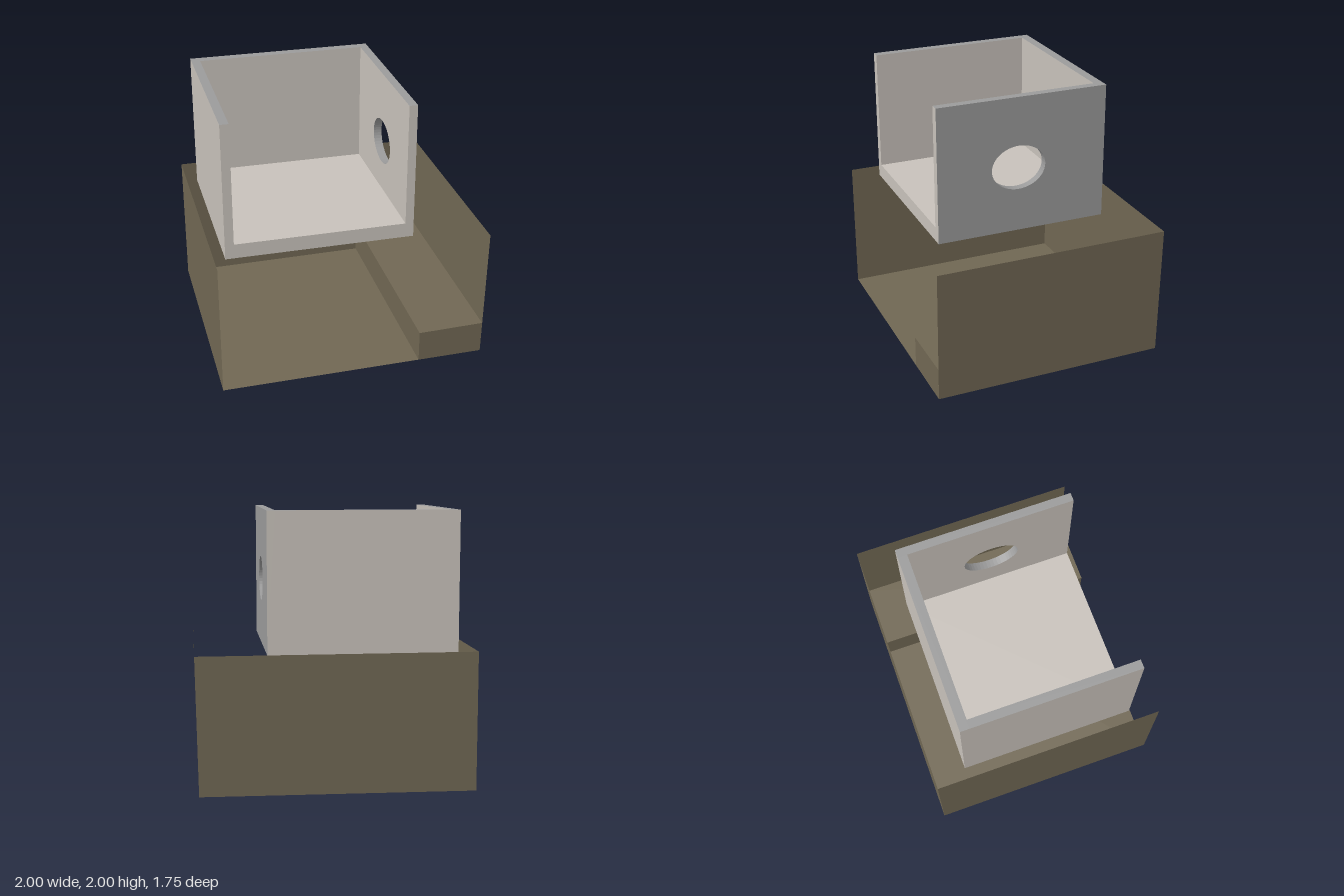
import * as THREE from 'three';

const stone = new THREE.MeshStandardMaterial({ color: 0xc8c2bb });
stone.name = 'warmStone';
const grey = new THREE.MeshStandardMaterial({ color: 0x9b9b9b });
grey.name = 'grey';
const brown = new THREE.MeshStandardMaterial({ color: 0x706753, side: THREE.DoubleSide });
brown.name = 'brown';

function add(group, name, geometry, material) {
  const mesh = new THREE.Mesh(geometry, material);
  mesh.name = name;
  group.add(mesh);
}

// Flat four-cornered sheet
function sheet(a, b, c, d) {
  const g = new THREE.BufferGeometry();
  const points = [a, b, c, a, c, d].flat();
  g.setAttribute('position', new THREE.Float32BufferAttribute(points, 3));
  g.computeVertexNormals();
  return g;
}

// Box given by its limits
function block(x0, x1, y0, y1, z0, z1) {
  const g = new THREE.BoxGeometry(x1 - x0, y1 - y0, z1 - z0);
  return g.translate((x0 + x1) / 2, (y0 + y1) / 2, (z0 + z1) / 2);
}

// Material groups per triangle: grey (1) where the rule holds, stone (0) elsewhere
function paint(geometry, isGrey) {
  const g = geometry.index ? geometry.toNonIndexed() : geometry;
  g.clearGroups();
  const p = g.attributes.position, n = g.attributes.normal;
  const centre = new THREE.Vector3(), normal = new THREE.Vector3(), v = new THREE.Vector3();
  for (let i = 0; i < p.count; i += 3) {
    centre.set(0, 0, 0);
    for (let k = 0; k < 3; k++) centre.add(v.fromBufferAttribute(p, i + k));
    centre.divideScalar(3);
    normal.fromBufferAttribute(n, i);
    g.addGroup(i, 3, isGrey(centre, normal) ? 1 : 0);
  }
  return g;
}

// Sheet running the full depth between two points of the front outline
function strip([xa, ya], [xb, yb], z0, z1) {
  return sheet([xa, ya, z1], [xb, yb, z1], [xb, yb, z0], [xa, ya, z0]);
}

function createTray() {
  const tray = new THREE.Group();
  tray.name = 'lowerTray';
  const z0 = -0.88, z1 = 0.875;
  const bottomLeft = [-1, 0], bottomRight = [0.98, 0.015];
  const topLeft = [-1, 1.01], topRight = [1, 1.01];
  const stepFoot = [0.49, 0.011], stepEdge = [0.49, 0.25], stepEnd = [0.984, 0.26];

  // Thin floor and walls, open at the front and top
  add(tray, 'trayFloor', strip(bottomLeft, bottomRight, z0, z1), brown);
  add(tray, 'trayLowXWall', strip(topLeft, bottomLeft, z0, z1), brown);
  add(tray, 'trayHighXWall', strip(bottomRight, topRight, z0, z1), brown);
  add(tray, 'trayBackWall', sheet([...bottomRight, z0], [...bottomLeft, z0], [...topLeft, z0], [...topRight, z0]), brown);

  // Low step along one side
  add(tray, 'stepTop', strip(stepEdge, stepEnd, z0, z1), brown);
  add(tray, 'stepSide', strip(stepEdge, stepFoot, z0, z1), brown);
  add(tray, 'stepFront', sheet([...stepFoot, z1], [...bottomRight, z1], [...stepEnd, z1], [...stepEdge, z1]), brown);
  return tray;
}

function createHousing() {
  const housing = new THREE.Group();
  housing.name = 'upperHousing';
  const x0 = -0.91, x1 = 0.48, y0 = 0.97, y1 = 2, z0 = -0.64, z1 = 0.67;
  const innerX0 = -0.845, innerX1 = 0.418, innerY = 1.08, innerZ = -0.57;
  const colours = [stone, grey];
  const onRim = (c, n) => n.y > 0.9 && c.y > y1 - 0.01;

  add(housing, 'housingFloor', block(x0, innerX1, y0, innerY, z0, z1), stone);
  add(housing, 'housingBackWall', paint(block(x0, innerX1, innerY, y1, z0, innerZ), onRim), colours);
  add(housing, 'housingSolidWall', paint(block(x0, innerX0, innerY, y1, innerZ, z1), onRim), colours);

  // Side wall with an oval opening, drawn with -z across and y up
  const outline = new THREE.Shape();
  outline.moveTo(-z1, y0).lineTo(-z0, y0).lineTo(-z0, y1).lineTo(-z1, y1).closePath();
  const hole = new THREE.Path();
  hole.absellipse(-0.045, 1.465, 0.21, 0.168, 0, Math.PI * 2, true);
  outline.holes.push(hole);
  const wall = new THREE.ExtrudeGeometry(outline, { depth: x1 - innerX1, bevelEnabled: false, curveSegments: 24 });
  wall.rotateY(Math.PI / 2).translate(innerX1, 0, 0);
  const inHole = (c) => Math.hypot(c.z - 0.045, c.y - 1.465) < 0.25;
  const wallRule = (c, n) => n.x > 0.9 || onRim(c, n) || (Math.abs(n.x) < 0.1 && inHole(c));
  add(housing, 'housingPiercedWall', paint(wall, wallRule), colours);
  return housing;
}

export function createModel() {
  const model = new THREE.Group();
  model.name = 'housingOverTray';
  model.add(createTray(), createHousing());
  return model;
}
